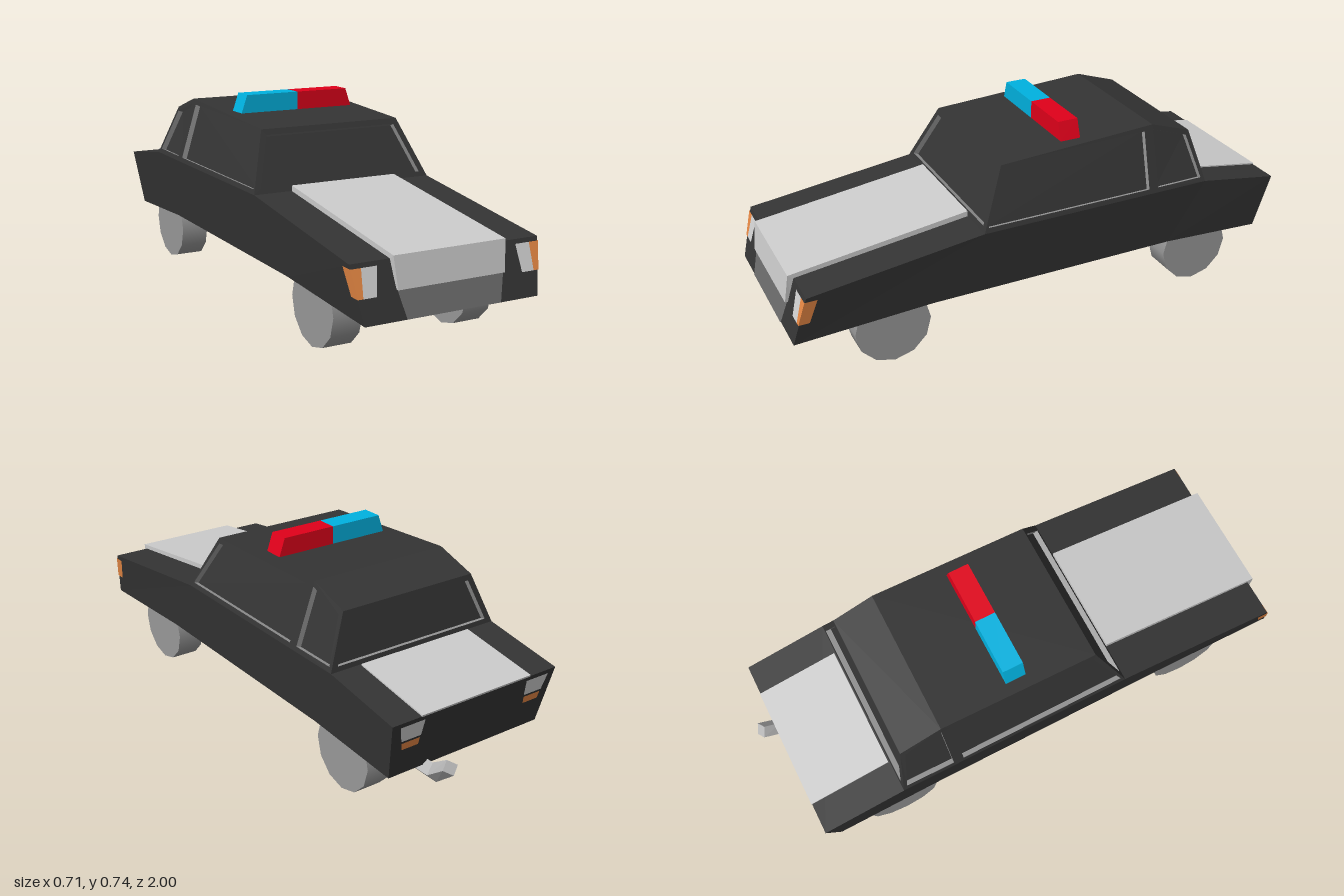
import * as THREE from 'three';

const mat = (name, color, side = THREE.FrontSide) => {
  const m = new THREE.MeshStandardMaterial({ color, side });
  m.name = name;
  return m;
};

function meshFrom(name, points, material) {
  const g = new THREE.BufferGeometry().setFromPoints(points);
  g.computeVertexNormals();
  const m = new THREE.Mesh(g, material);
  m.name = name;
  return m;
}

const v = (x, y, z) => new THREE.Vector3(x, y, z);
const quadTris = (a, b, c, d) => [a, b, c, a, c, d];

// Closed solid through four-point rings, listed front to back,
// each ring running anticlockwise as seen from the front
function loft(name, rings, material) {
  const pts = [];
  for (let j = 0; j < 4; j++) {
    const k = (j + 1) % 4;
    for (let i = 0; i < rings.length - 1; i++) {
      pts.push(...quadTris(rings[i][j], rings[i + 1][j], rings[i + 1][k], rings[i][k]));
    }
  }
  pts.push(...quadTris(...rings[0]), ...quadTris(...[...rings[rings.length - 1]].reverse()));
  return meshFrom(name, pts, material);
}

// Ring symmetric in x with its own upper and lower z, y and half-width
const ring = (zt, yt, wt, zb, yb, wb) =>
  [v(wt, yt, zt), v(-wt, yt, zt), v(-wb, yb, zb), v(wb, yb, zb)];

export function createModel() {
  const dark = mat('darkPaint', 0x343434, THREE.DoubleSide);
  const silver = mat('lightPanel', 0xcccccc, THREE.DoubleSide);
  const grey = mat('wheelGrey', 0x989898, THREE.DoubleSide);
  const midGrey = mat('grilleGrey', 0x6b6b6b, THREE.DoubleSide);
  const pipe = mat('pipeGrey', 0xb6b6b6);
  const lamp = mat('lampWhite', 0xd2d2d2, THREE.DoubleSide);
  const orange = mat('indicatorOrange', 0xea8a45, THREE.DoubleSide);
  const red = mat('beaconRed', 0xe0001a);
  const blue = mat('beaconBlue', 0x00b2e0);

  const car = new THREE.Group();
  car.name = 'car';

  // Lower body with a grey underside
  const body = loft('body', [
    ring(0.95, 0.366, 0.353, 1, 0.181, 0.325),
    ring(0.31, 0.447, 0.355, 0.5, 0.203, 0.325),
    ring(-0.6, 0.447, 0.355, -0.47, 0.203, 0.325),
    ring(-0.915, 0.396, 0.353, -0.87, 0.181, 0.325),
  ], [dark, midGrey]);
  body.geometry.addGroup(0, 36, 0);
  body.geometry.addGroup(36, 18, 1);
  body.geometry.addGroup(54, 30, 0);
  car.add(body);

  // Raised bonnet panel folding over the nose, and boot panel
  car.add(loft('bonnetPanel', [
    ring(0.985, 0.273, 0.2, 0.965, 0.273, 0.2),
    ring(0.97, 0.38, 0.21, 0.94, 0.356, 0.21),
    ring(0.31, 0.467, 0.21, 0.31, 0.437, 0.21),
  ], silver));
  car.add(loft('bootPanel', [
    ring(-0.605, 0.451, 0.235, -0.605, 0.442, 0.235),
    ring(-0.917, 0.401, 0.235, -0.914, 0.392, 0.235),
  ], silver));

  // Cabin: the sides lean in to a roof of constant width
  const base = 0.447, roofHalf = 0.278;
  const roof = [[0.21, 0.655], [-0.4, 0.688], [-0.56, 0.635]];
  const roofY = (z) => (z > -0.4
    ? THREE.MathUtils.mapLinear(Math.min(z, 0.21), 0.21, -0.4, 0.655, 0.688)
    : THREE.MathUtils.mapLinear(Math.max(z, -0.56), -0.4, -0.56, 0.688, 0.635));
  const halfWidth = (y, top) => THREE.MathUtils.mapLinear(y, base, top, 0.355, roofHalf);

  // Panel with recessed windows; map places (u, v, depth) in space
  const toV2 = (list) => list.map(([a, b]) => new THREE.Vector2(a, b));
  function windowPanel(name, outline, holes, map) {
    const group = new THREE.Group();
    group.name = name;
    const shape = new THREE.Shape(toV2(outline));
    holes.forEach((h) => shape.holes.push(new THREE.Path(toV2(h))));
    const flat = (part, s, depth) => {
      const g = new THREE.ShapeGeometry(s).toNonIndexed();
      const p = g.attributes.position;
      const pts = [];
      for (let i = 0; i < p.count; i++) pts.push(map(p.getX(i), p.getY(i), depth));
      group.add(meshFrom(part, pts, dark));
    };
    flat('windowFrame', shape, 0);
    holes.forEach((h) => {
      flat('glass', new THREE.Shape(toV2(h)), 0.02);
      h.forEach((a, i) => {
        const b = h[(i + 1) % h.length];
        const isTop = a[1] > 0.55 && b[1] > 0.55;
        group.add(meshFrom('windowReveal', quadTris(
          map(...a, 0), map(...b, 0), map(...b, 0.02), map(...a, 0.02)), isTop ? midGrey : grey));
      });
    });
    car.add(group);
  }

  const sideOutline = [[0.31, base], ...roof, [-0.6, base]];
  const sideHoles = [
    [[0.292, 0.464], [0.2, 0.637], [-0.365, 0.669], [-0.357, 0.464]],
    [[-0.396, 0.464], [-0.402, 0.669], [-0.545, 0.621], [-0.582, 0.464]],
  ];
  for (const s of [1, -1]) {
    windowPanel(s > 0 ? 'leftCabinSide' : 'rightCabinSide', sideOutline, sideHoles,
      (z, y, d) => v(s * (halfWidth(y, roofY(z)) - 0.948 * d), y - 0.318 * d, z));
  }
  const endPanel = (name, yTop, zBase, zTop, sign) => {
    const slope = (zTop - zBase) / (yTop - base);
    const len = Math.hypot(1, slope);
    const trapezoid = (y0, y1, inset) => {
      const a = halfWidth(y0, yTop) - inset, b = halfWidth(y1, yTop) - inset;
      return [[-a, y0], [a, y0], [b, y1], [-b, y1]];
    };
    windowPanel(name, trapezoid(base, yTop, 0), [trapezoid(0.464, yTop - 0.02, 0.024)],
      (x, y, d) => v(x, y - Math.abs(slope) / len * d, zBase + slope * (y - base) - sign * d / len));
  };
  endPanel('windscreen', 0.655, 0.31, 0.21, 1);
  endPanel('rearWindow', 0.635, -0.6, -0.56, -1);

  // Roof in two slopes
  for (let i = 0; i < 2; i++) {
    const [[z0, y0], [z1, y1]] = [roof[i], roof[i + 1]];
    car.add(meshFrom('roof', quadTris(v(-roofHalf, y0, z0), v(roofHalf, y0, z0),
      v(roofHalf, y1, z1), v(-roofHalf, y1, z1)), dark));
  }

  // Two-coloured roof beacon
  const beacon = (name, left, leftBase, right, rightBase, material) =>
    car.add(loft(name, [-0.047, -0.125].map((z) => [
      v(left, 0.74, z), v(right, 0.74, z), v(rightBase, 0.673, z), v(leftBase, 0.673, z),
    ]), material));
  beacon('redBeacon', 0.21, 0.233, 0, 0, red);
  beacon('blueBeacon', 0, 0, -0.21, -0.233, blue);

  // Lamps and grille lie just proud of the body faces
  const nose = (x, y) => v(x, y, 0.953 + (0.366 - y) * 0.27);
  const tail = (x, y) => v(x, y, -0.918 + (0.396 - y) * 0.209);
  const flank = (y) => 0.355 - (0.366 - y) * 0.151;
  car.add(meshFrom('grille', quadTris(
    nose(-0.176, 0.182), nose(0.176, 0.182), nose(0.2, 0.278), nose(-0.2, 0.278)), midGrey));
  for (const s of [1, -1]) {
    const plate = (name, corners, material) => {
      const c = corners.map((p) => v(p.x * s, p.y, p.z));
      car.add(meshFrom(name, quadTris(...(s > 0 ? c : c.reverse())), material));
    };
    const [lo, hi] = [0.262, 0.352];
    plate('headlight', [nose(0.273, lo), nose(0.32, lo), nose(0.315, hi), nose(0.26, hi)], lamp);
    plate('frontIndicator', [nose(0.32, lo), nose(flank(lo), lo), nose(flank(hi), hi), nose(0.315, hi)], orange);
    plate('sideIndicator', [
      nose(flank(lo), lo), v(flank(lo), lo, 0.942), v(flank(hi), hi, 0.912), nose(flank(hi), hi),
    ], orange);
    plate('tailLight', [tail(0.305, 0.322), tail(0.225, 0.322), tail(0.22, 0.382), tail(0.32, 0.382)], lamp);
    plate('rearIndicator', [tail(0.297, 0.287), tail(0.23, 0.287), tail(0.227, 0.314), tail(0.302, 0.314)], orange);
  }

  // Wheels
  const wheelGeo = new THREE.CylinderGeometry(0.14, 0.14, 0.107, 12).rotateZ(Math.PI / 2);
  for (const z of [0.643, -0.605]) {
    for (const s of [1, -1]) {
      const wheel = new THREE.Mesh(wheelGeo, grey);
      wheel.name = z > 0 ? 'frontWheel' : 'rearWheel';
      wheel.position.set(s * 0.256, 0.14, z);
      car.add(wheel);
    }
  }

  // Square exhaust pipe with an upturned tip
  const pipeRing = (z, y, dz, dy) => [
    v(0.167, y + dy, z + dz), v(0.135, y, z), v(0.167, y - dy, z - dz), v(0.199, y, z),
  ];
  car.add(loft('exhaust', [
    pipeRing(-0.79, 0.167, 0, 0.032),
    pipeRing(-0.91, 0.167, 0.01, 0.032),
    pipeRing(-0.982, 0.22, 0.018, 0.02),
  ], pipe));

  return car;
}
